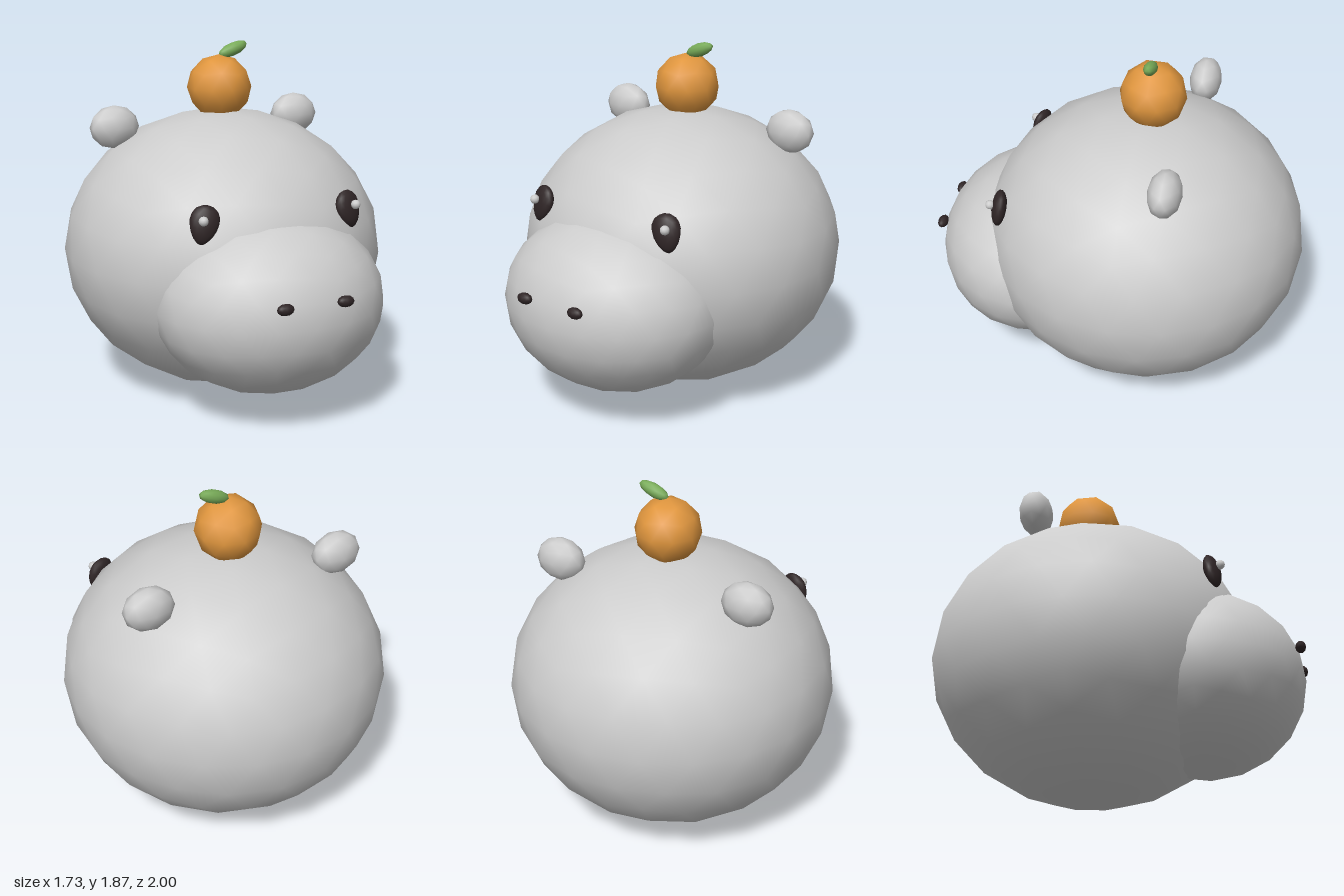
import * as THREE from 'three';

const paint = (name, color) => {
  const m = new THREE.MeshStandardMaterial({ color });
  m.name = name;
  return m;
};

// Unit icosphere with a vertex at the pole, smooth normals
function ball(detail) {
  const g = new THREE.IcosahedronGeometry(1, detail);
  g.rotateX(-Math.atan2((1 + Math.sqrt(5)) / 2, 1));
  g.rotateY(Math.PI / 2);
  return g;
}

// Egg: narrower towards the bottom
function egg(detail, taper) {
  const g = ball(detail);
  const p = g.attributes.position;
  for (let i = 0; i < p.count; i++) p.setX(i, p.getX(i) * (1 + taper * p.getY(i)));
  return g;
}

export function createModel() {
  const group = new THREE.Group();
  const grey = paint('skin grey', 0xcccccc);
  const dark = paint('dark brown', 0x2f2526);
  const orange = paint('orange peel', 0xe0963e);
  const green = paint('leaf green', 0x78ab58);

  const fine = ball(3);
  const coarse = ball(1);
  const eyeShape = egg(2, 0.25);

  const add = (name, geometry, material, pos, radii, rot = [0, 0, 0]) => {
    const mesh = new THREE.Mesh(geometry, material);
    mesh.name = name;
    mesh.position.set(...pos);
    mesh.scale.set(...radii);
    mesh.rotation.set(...rot);
    group.add(mesh);
  };

  // Round body and muzzle
  add('body', fine, grey, [0, 0.758, -0.14], [0.865, 0.755, 0.862]);
  add('muzzle', fine, grey, [0, 0.605, 0.45], [0.615, 0.475, 0.535]);

  // Paired face parts, mirrored across x = 0
  for (const [side, s] of [['left', 1], ['right', -1]]) {
    add(side + 'Ear', coarse, grey, [s * 0.54, 1.418, -0.353], [0.138, 0.118, 0.088]);
    add(side + 'Eye', eyeShape, dark, [s * 0.403, 1.07, 0.548], [0.073, 0.1, 0.04],
      [-0.18, s * 0.3, s * 0.25]);
    add(side + 'EyeGlint', coarse, grey, [s * 0.423, 1.1, 0.59], [0.025, 0.025, 0.025]);
    add(side + 'Nostril', coarse, dark, [s * 0.163, 0.727, 0.968], [0.045, 0.03, 0.028]);
  }

  // Fruit balanced on the head
  add('orange', coarse, orange, [0, 1.628, -0.175], [0.175, 0.175, 0.175]);
  add('leaf', coarse, green, [0.08, 1.826, -0.175], [0.088, 0.036, 0.034], [0, 0, 0.35]);

  return group;
}
